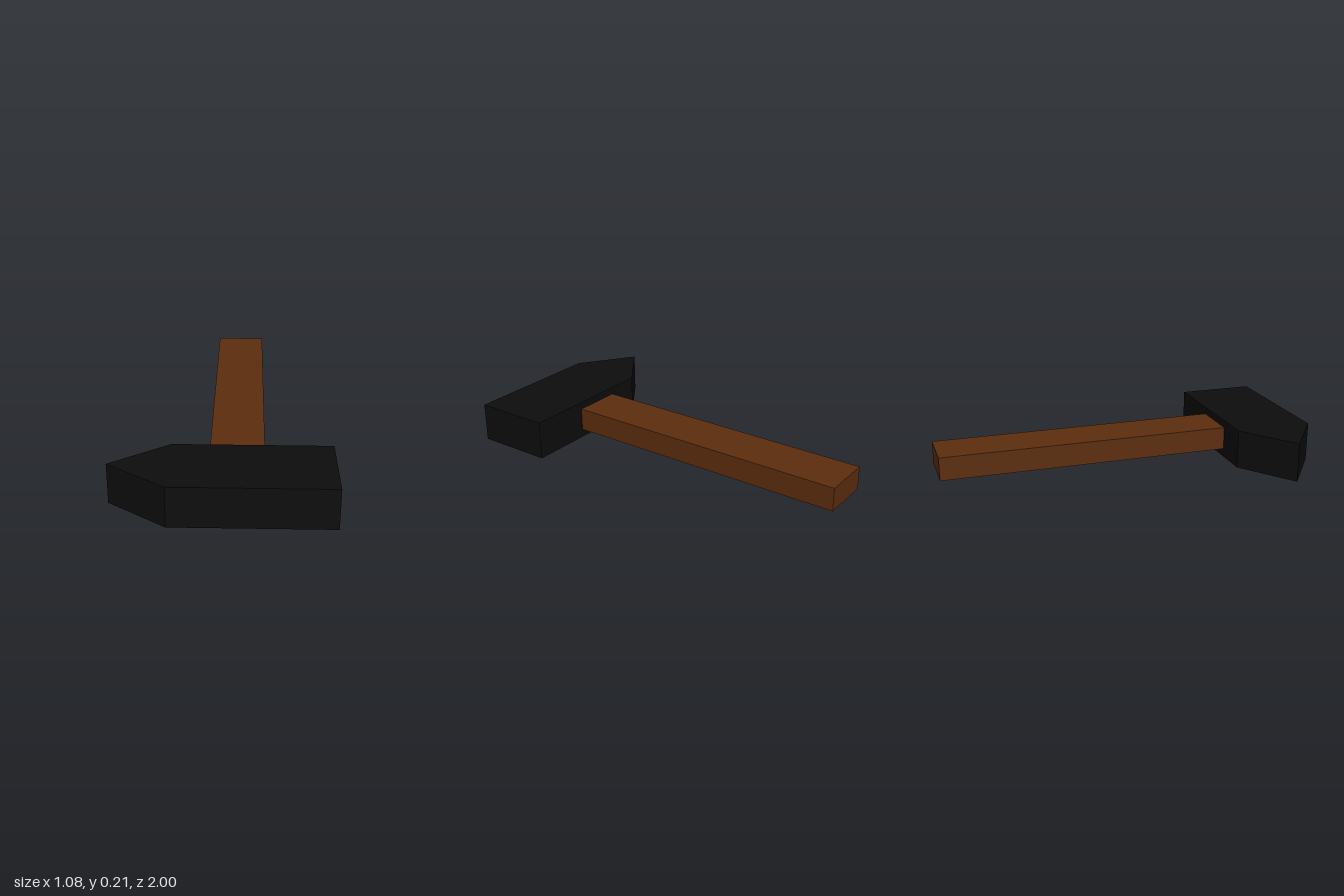
import * as THREE from 'three';

export function createModel() {
  const group = new THREE.Group();
  const iron = new THREE.MeshStandardMaterial({ color: 0x0d0d0d });
  iron.name = 'black iron';
  const wood = new THREE.MeshStandardMaterial({ color: 0x5c2d0e });
  wood.name = 'brown wood';

  // Head: plan outline in x and z, a block tapering to a vertical edge on one side
  const headHeight = 0.21;
  const outline = new THREE.Shape([
    [-0.54, 0.79], [-0.25, 0.58], [0.54, 0.58], [0.54, 1], [-0.25, 1],
  ].map(([x, z]) => new THREE.Vector2(x, z)));
  const headGeometry = new THREE.ExtrudeGeometry(outline, { depth: headHeight, bevelEnabled: false });
  headGeometry.rotateX(Math.PI / 2).translate(0, headHeight, 0);
  const head = new THREE.Mesh(headGeometry, iron);
  head.name = 'head';

  // Handle: a flat bar running back from the head
  const handle = new THREE.Mesh(new THREE.BoxGeometry(0.27, 0.125, 1.6), wood);
  handle.name = 'handle';
  handle.position.set(0.07, headHeight / 2 + 0.003, -0.2);

  group.add(head, handle);
  return group;
}
